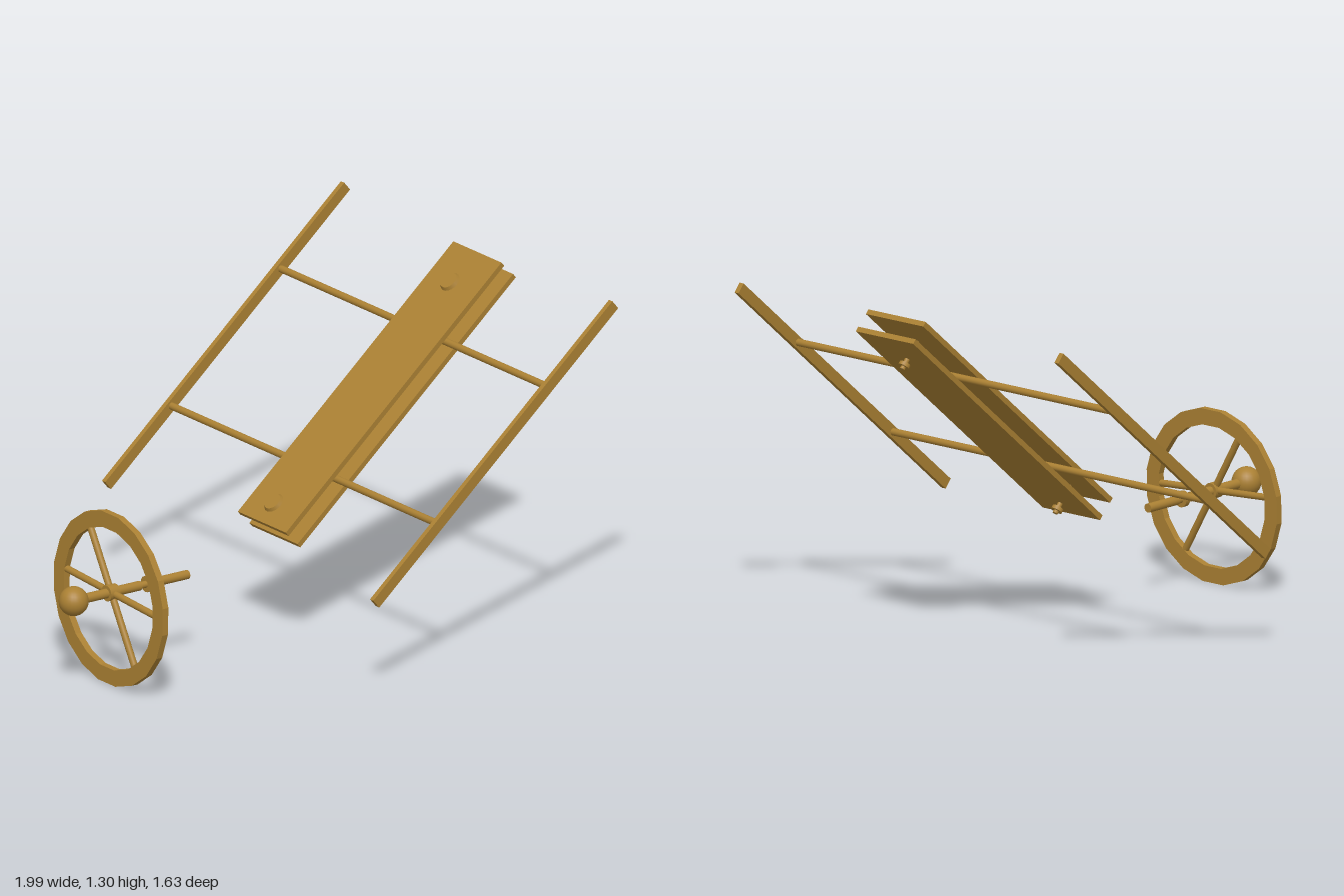
import * as THREE from 'three';

const material = new THREE.MeshStandardMaterial({ color: 0xaa8033 });

function add(parent, name, geometry, x = 0, y = 0, z = 0) {
  const mesh = new THREE.Mesh(geometry, material);
  mesh.name = name;
  mesh.position.set(x, y, z);
  parent.add(mesh);
  return mesh;
}

// Regular polygon with a flat bottom edge
function polygon(radius, sides) {
  return Array.from({ length: sides }, (_, i) => {
    const a = ((i + 0.5) / sides) * Math.PI * 2;
    return new THREE.Vector2(radius * Math.cos(a), radius * Math.sin(a));
  });
}

// Sloping frame: local x runs up the slope, local y is normal to it
function createFrame() {
  const frame = new THREE.Group();
  frame.name = 'slopingFrame';
  frame.position.set(0.43, 0.83, 0);
  frame.rotation.z = THREE.MathUtils.degToRad(40);

  // Side rails
  for (const side of [-1, 1]) {
    add(frame, 'sideRail', new THREE.BoxGeometry(1.43, 0.042, 0.02), 0, 0, side * 0.803);
  }
  // Cross rods
  for (const x of [-0.335, 0.32]) {
    const rod = add(frame, 'crossRod', new THREE.CylinderGeometry(0.0135, 0.0135, 1.6, 16), x, 0, 0);
    rod.rotation.x = Math.PI / 2;
  }
  // Two boards clamping the rods
  add(frame, 'upperBoard', new THREE.BoxGeometry(1.29, 0.02, 0.288), 0.025, 0.035, 0.07);
  add(frame, 'lowerBoard', new THREE.BoxGeometry(1.29, 0.02, 0.288), 0.03, -0.042, 0.07);

  // Clamping bolts with wide heads and nuts
  for (const x of [-0.538, 0.517]) {
    const bolt = new THREE.Group();
    bolt.name = 'clampBolt';
    bolt.position.set(x, 0, 0.07);
    add(bolt, 'boltShank', new THREE.CylinderGeometry(0.01, 0.01, 0.16, 12), 0, -0.015, 0);
    add(bolt, 'boltHead', new THREE.CylinderGeometry(0.034, 0.04, 0.012, 20), 0, 0.064, 0);
    add(bolt, 'boltNut', new THREE.CylinderGeometry(0.022, 0.022, 0.014, 12), 0, -0.077, 0);
    frame.add(bolt);
  }
  return frame;
}

// Spoked wheel on a shaft: local x is the axle
function createHandwheel() {
  const handwheel = new THREE.Group();
  handwheel.name = 'handwheel';
  handwheel.position.set(-0.772, 0.35, 0.08);
  handwheel.rotation.z = THREE.MathUtils.degToRad(-1.2);

  // Shaft, hub, collar and neck lathed as one turned piece
  const profile = [
    [0, -0.15], [0.018, -0.15], [0.018, -0.022], [0.03, -0.022], [0.03, 0.02],
    [0.018, 0.02], [0.018, 0.13], [0.013, 0.13], [0.013, 0.158], [0.03, 0.158],
    [0.03, 0.178], [0.014, 0.178], [0.014, 0.195], [0.017, 0.195], [0.017, 0.35], [0, 0.35],
  ];
  // Each segment is its own lathe strip, so that the shoulders stay sharp
  const shaft = new THREE.Group();
  shaft.name = 'shaft';
  shaft.rotation.z = -Math.PI / 2;
  for (let i = 1; i < profile.length; i++) {
    const strip = [profile[i - 1], profile[i]].map(([r, y]) => new THREE.Vector2(r, y));
    add(shaft, 'shaftSection', new THREE.LatheGeometry(strip, 20));
  }
  handwheel.add(shaft);

  // Ball knob
  add(handwheel, 'ballKnob', new THREE.SphereGeometry(0.055, 24, 16), -0.172, 0, 0);

  // Wheel turned to face along the axle
  const wheel = new THREE.Group();
  wheel.name = 'wheel';
  wheel.rotation.y = Math.PI / 2;
  handwheel.add(wheel);

  // Rim
  const shape = new THREE.Shape(polygon(0.329, 20));
  shape.holes.push(new THREE.Path(polygon(0.268, 20)));
  const rim = new THREE.ExtrudeGeometry(shape, { depth: 0.026, bevelEnabled: false });
  add(wheel, 'rim', rim, 0, -0.022, -0.013);

  // Spokes: two bars crossing at the hub
  for (const [degrees, length, shift] of [[3.5, 0.55, 0], [59, 0.55, -0.02]]) {
    const a = THREE.MathUtils.degToRad(degrees);
    const spoke = add(wheel, 'spoke', new THREE.CylinderGeometry(0.013, 0.013, length, 12),
      shift * Math.cos(a), shift * Math.sin(a), 0);
    spoke.rotation.z = a - Math.PI / 2;
  }
  return handwheel;
}

export function createModel() {
  const model = new THREE.Group();
  model.name = 'frameAndHandwheel';
  model.add(createFrame(), createHandwheel());
  return model;
}
